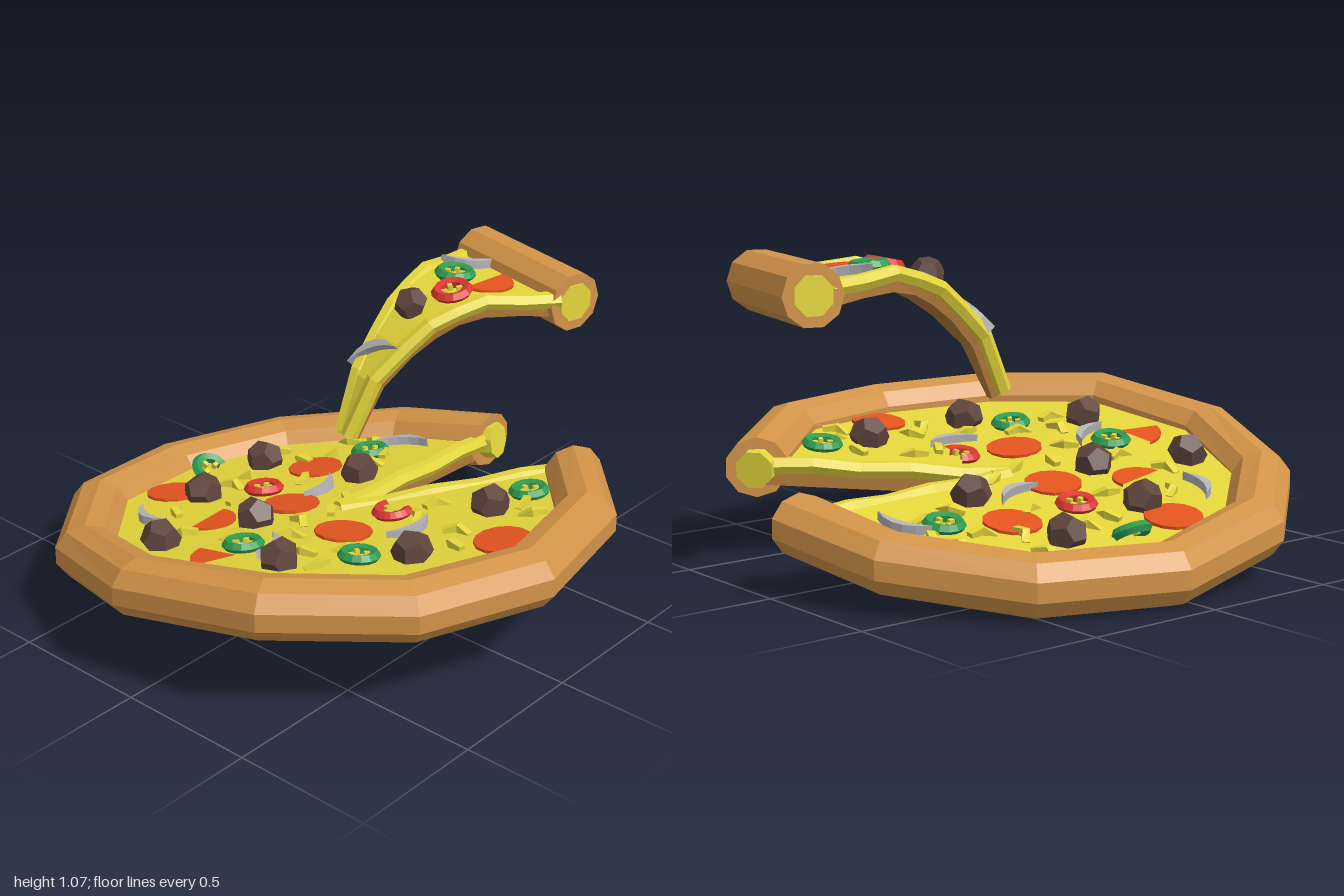
import * as THREE from 'three';

const V = (x, y, z) => new THREE.Vector3(x, y, z);
const mat = (color) => new THREE.MeshStandardMaterial({ color, flatShading: true });
const CRUST = mat(0xd29348), DOUGH = mat(0xb07a3a), CHEESE = mat(0xe4d63c), SALAMI = mat(0xe4541f),
  MEAT = mat(0x5f443c), GREEN = mat(0x2f9b50), RED = mat(0xdc3830), ONION = mat(0xb4b4b8);

function add(parent, name, geometry, material) {
  const m = new THREE.Mesh(geometry, material);
  m.name = name;
  parent.add(m);
  return m;
}

function fromTriangles(tris) {
  const g = new THREE.BufferGeometry().setFromPoints(tris);
  g.computeVertexNormals();
  return g;
}

// Skin over equal-sized rings, closed at both ends
function loft(rings) {
  const t = [], n = rings[0].length, last = rings.length - 1;
  const mid = (r) => r.reduce((s, p) => s.add(p), V(0, 0, 0)).divideScalar(n);
  const c0 = mid(rings[0]), c1 = mid(rings[last]);
  for (let j = 0; j < n; j++) {
    const k = (j + 1) % n;
    for (let i = 0; i < last; i++) {
      const a = rings[i], b = rings[i + 1];
      t.push(a[j], a[k], b[k], a[j], b[k], b[j]);
    }
    t.push(c0, rings[0][k], rings[0][j], c1, rings[last][j], rings[last][k]);
  }
  return fromTriangles(t);
}

// Faceted rod along a path
function strand(pts, radius, sides) {
  return loft(pts.map((p, i) => {
    const T = pts[Math.min(i + 1, pts.length - 1)].clone().sub(pts[Math.max(i - 1, 0)]).normalize();
    const side = T.clone().cross(V(0, 1, 0)).normalize(), up = side.clone().cross(T);
    return Array.from({ length: sides }, (_, j) => {
      const a = ((j + 0.5) / sides) * Math.PI * 2;
      return p.clone().addScaledVector(up, Math.cos(a) * radius).addScaledVector(side, Math.sin(a) * radius);
    });
  }));
}

// Warped pie: rim corners by angle and height, starting and ending at the missing piece
const ANGLES = [-56, -27, 3, 33, 63, 95, 124, 154, 185, 215, 245, 270.5];
const HEIGHTS = [0.33, 0.38, 0.39, 0.41, 0.42, 0.35, 0.25, 0.18, 0.115, 0.115, 0.165, 0.235];
const CENTRE = 0.27;
const RIM = ANGLES.map((d, i) => {
  const a = THREE.MathUtils.degToRad(d);
  return V(Math.cos(a) * 0.88, HEIGHTS[i], Math.sin(a) * 0.88);
});
function pieHeight(x, z) {
  for (let i = 0; i < RIM.length - 1; i++) {
    const a = RIM[i], b = RIM[i + 1], det = a.x * b.z - b.x * a.z;
    const u = (x * b.z - b.x * z) / det, v = (a.x * z - x * a.z) / det;
    if (u >= -1e-6 && v >= -1e-6) return CENTRE + u * (a.y - CENTRE) + v * (b.y - CENTRE);
  }
  return CENTRE;
}

// Lifted slice: height drops from its crust to the tip
const DROOP = [[0, 0.98], [0.18, 1], [0.36, 1.01], [0.5, 0.99], [0.62, 0.945], [0.74, 0.88], [0.88, 0.77], [1, 0.58]];
function droop(t) {
  let i = 1;
  while (i < DROOP.length - 1 && t > DROOP[i][0]) i++;
  const [a, b] = [DROOP[i - 1], DROOP[i]];
  return a[1] + ((t - a[0]) / (b[0] - a[0])) * (b[1] - a[1]);
}
const sliceHeight = (x, z) => droop((-0.235 * x + 0.972 * z + 0.763) / 0.725);
const leftEdge = (t) => V(-0.06 + 0.06 * t, droop(t), -0.8 + 0.76 * t);
const rightEdge = (t) => V(0.43 - 0.39 * t, droop(t), -0.68 + 0.65 * t);

function normalAt(surface, x, z) {
  const e = 0.02;
  return V(surface(x - e, z) - surface(x + e, z), 2 * e, surface(x, z - e) - surface(x, z + e)).normalize();
}

// Sits an object on a surface, turned by yaw degrees about its normal
function place(obj, surface, x, z, yaw = 0, lift = 0.025) {
  const n = normalAt(surface, x, z);
  obj.position.set(x, surface(x, z), z).addScaledVector(n, lift);
  obj.quaternion.setFromUnitVectors(V(0, 1, 0), n)
    .multiply(new THREE.Quaternion().setFromAxisAngle(V(0, 1, 0), THREE.MathUtils.degToRad(yaw)));
}

function pieLayer(low, high) {
  const t = [], ring = [V(0, CENTRE, 0), ...RIM], at = (p, d) => V(p.x, p.y + d, p.z);
  ring.forEach((a, i) => {
    const b = ring[(i + 1) % ring.length];
    t.push(at(ring[0], high), at(b, high), at(a, high), at(ring[0], low), at(a, low), at(b, low));
    t.push(at(a, low), at(a, high), at(b, high), at(a, low), at(b, high), at(b, low));
  });
  return fromTriangles(t);
}

function sliceLayer(low, high) {
  return loft(DROOP.map(([t]) => {
    const L = leftEdge(t), R = rightEdge(t), n = normalAt(sliceHeight, (L.x + R.x) / 2, (L.z + R.z) / 2);
    return [[L, low], [R, low], [R, high], [L, high]].map(([p, d]) => p.clone().addScaledVector(n, d));
  }));
}

// Toppings
function salami(parent, surface, x, z, yaw = 0, arc = Math.PI * 2, r = 0.1) {
  place(add(parent, 'salamiDisc', new THREE.CylinderGeometry(r, r, 0.02, 14, 1, false, 0, arc), SALAMI), surface, x, z, yaw);
}
function meatball(parent, surface, x, z, yaw, r = 0.072) {
  place(add(parent, 'meatball', new THREE.DodecahedronGeometry(r), MEAT), surface, x, z, yaw, 0.05);
}
function pepper(parent, surface, x, z, yaw, material, arc = Math.PI * 2, tilt = 0) {
  const g = new THREE.Group(), tip = new THREE.Group();
  g.name = 'pepperRing';
  tip.rotation.x = tilt;
  g.add(tip);
  parent.add(g);
  add(tip, 'pepperSkin', new THREE.TorusGeometry(0.054, 0.02, 5, 14, arc).rotateX(-Math.PI / 2), material);
  for (let a = 0.4; a < arc; a += Math.PI / 2) {
    const seed = add(tip, 'pepperSeed', new THREE.BoxGeometry(0.026, 0.02, 0.016), CHEESE);
    seed.position.set(Math.cos(a) * 0.03, 0, -Math.sin(a) * 0.03);
    seed.rotation.y = a;
  }
  place(g, surface, x, z, yaw, tilt ? 0.05 : 0.038);
}
function onion(parent, surface, x, z, yaw) {
  const s = new THREE.Shape();
  s.moveTo(-0.1, -0.03);
  s.quadraticCurveTo(0, 0.08, 0.1, -0.03);
  s.quadraticCurveTo(0, 0.02, -0.1, -0.03);
  const g = new THREE.ExtrudeGeometry(s, { depth: 0.035, bevelEnabled: false, curveSegments: 5 }).rotateX(-Math.PI / 2);
  place(add(parent, 'onionSliver', g, ONION), surface, x, z, yaw, 0.02);
}

export function createModel() {
  const root = new THREE.Group(), pie = new THREE.Group(), slice = new THREE.Group();
  root.name = 'pizza';
  pie.name = 'pie';
  slice.name = 'liftedSlice';
  root.add(pie, slice);

  // Pie base, cheese and crust
  add(pie, 'doughBase', pieLayer(-0.06, 0), DOUGH);
  add(pie, 'cheeseLayer', pieLayer(0, 0.025), CHEESE);
  const rings = RIM.map((p) => {
    const out = V(p.x, 0, p.z).normalize();
    return Array.from({ length: 10 }, (_, j) => {
      const a = ((j + 0.5) / 10) * Math.PI * 2;
      return p.clone().addScaledVector(out, Math.cos(a) * 0.11).add(V(0, Math.sin(a) * 0.105, 0));
    });
  });
  for (let i = 0; i < rings.length - 1; i++) add(pie, 'crustSegment', loft([rings[i], rings[i + 1]]), CRUST);

  // Cheese filling showing at the open crust ends, and melted cheese along the cuts
  for (const [end, next] of [[0, 1], [11, 10]]) {
    const e = RIM[end], d = e.clone().sub(RIM[next]).normalize();
    add(pie, 'crustFilling', strand([e.clone().addScaledVector(d, -0.05), e.clone().addScaledVector(d, 0.035)], 0.068, 8), CHEESE);
    const path = [0.02, 0.2, 0.4, 0.6, 0.78, 0.95].map((t, i) =>
      V(e.x * t, CENTRE + (e.y - CENTRE) * t + (i % 2 ? 0.008 : 0.018), e.z * t));
    add(pie, 'meltedEdge', strand(path, 0.032, 6), CHEESE);
  }

  // Pie toppings
  for (const [x, z] of [[-0.35, -0.29], [-0.16, 0.05], [0.18, 0.16], [-0.61, 0.19], [0.68, -0.08]]) salami(pie, pieHeight, x, z);
  salami(pie, pieHeight, -0.3, 0.33, 10, Math.PI);
  salami(pie, pieHeight, 0.06, 0.56, -85, 1.2, 0.15);
  [[-0.55, -0.23], [-0.13, -0.29], [0.49, -0.26], [-0.48, 0.17], [-0.13, 0.26], [0.51, 0.19], [-0.25, 0.6], [0.23, 0.53]]
    .forEach(([x, z], i) => meatball(pie, pieHeight, x, z, i * 40));
  for (const [x, z] of [[-0.27, -0.51], [0.52, -0.44], [0.38, 0.31], [0.01, 0.47]]) pepper(pie, pieHeight, x, z, x * 90, GREEN);
  pepper(pie, pieHeight, -0.65, -0.04, 80, GREEN, 4, 0.7);
  pepper(pie, pieHeight, -0.35, -0.01, 0, RED);
  pepper(pie, pieHeight, 0.21, -0.07, 150, RED, 4.2);
  for (const [x, z, yaw] of [[-0.22, -0.65, 25], [-0.16, -0.13, -75], [0.37, 0.01, -95], [-0.48, 0.45, 160], [0.11, 0.43, -62]])
    onion(pie, pieHeight, x, z, yaw);

  // Grated cheese
  const shreds = [[-0.42, -0.57], [-0.38, -0.44], [-0.33, -0.6], [-0.18, -0.41], [-0.2, -0.53], [-0.45, -0.33], [-0.5, -0.1],
    [-0.3, -0.17], [-0.48, 0.02], [-0.33, 0.14], [-0.44, 0.34], [-0.27, 0.47], [-0.1, 0.41], [0, 0.18], [0.08, 0.31],
    [0.02, 0.03], [0.22, 0.4], [0.3, 0.28], [0.31, -0.08], [0.5, -0.06], [0.42, 0.12], [0.56, 0.03], [0.64, -0.3],
    [0.56, -0.36], [0.42, -0.36], [0.3, -0.2], [-0.02, -0.1], [-0.6, -0.36], [0.33, 0.46]];
  shreds.forEach(([x, z], i) => {
    const g = strand([V(-0.045, -0.012, 0), V(0, 0.012, 0.01), V(0.045, 0, -0.012)], 0.019, 4);
    place(add(pie, 'cheeseShred', g, CHEESE), pieHeight, x, z, i * 67, 0.028);
  });

  // Lifted slice
  add(slice, 'sliceDough', sliceLayer(-0.045, 0), DOUGH);
  add(slice, 'sliceCheese', sliceLayer(0, 0.025), CHEESE);
  const a = V(-0.07, 0.98, -0.865), b = V(0.46, 0.98, -0.735), d = b.clone().sub(a).normalize();
  add(slice, 'sliceCrust', strand([a, b], 0.106, 10), CRUST);
  add(slice, 'sliceCrustFilling', strand([a.clone().addScaledVector(d, -0.006), b.clone().addScaledVector(d, 0.006)], 0.07, 8), CHEESE);
  for (const edge of [leftEdge, rightEdge]) {
    const path = DROOP.map(([t], i) => edge(t).add(V(0, i % 2 ? 0.008 : 0.018, 0)));
    add(slice, 'sliceMeltedEdge', strand(path, 0.03, 6), CHEESE);
  }
  salami(slice, sliceHeight, 0.19, -0.57, 0, Math.PI);
  meatball(slice, sliceHeight, 0.08, -0.33, 20, 0.06);
  pepper(slice, sliceHeight, 0.08, -0.54, 0, GREEN);
  pepper(slice, sliceHeight, 0.165, -0.43, 30, RED);
  onion(slice, sliceHeight, 0.05, -0.66, 230);
  onion(slice, sliceHeight, 0.04, -0.19, 25);
  return root;
}
